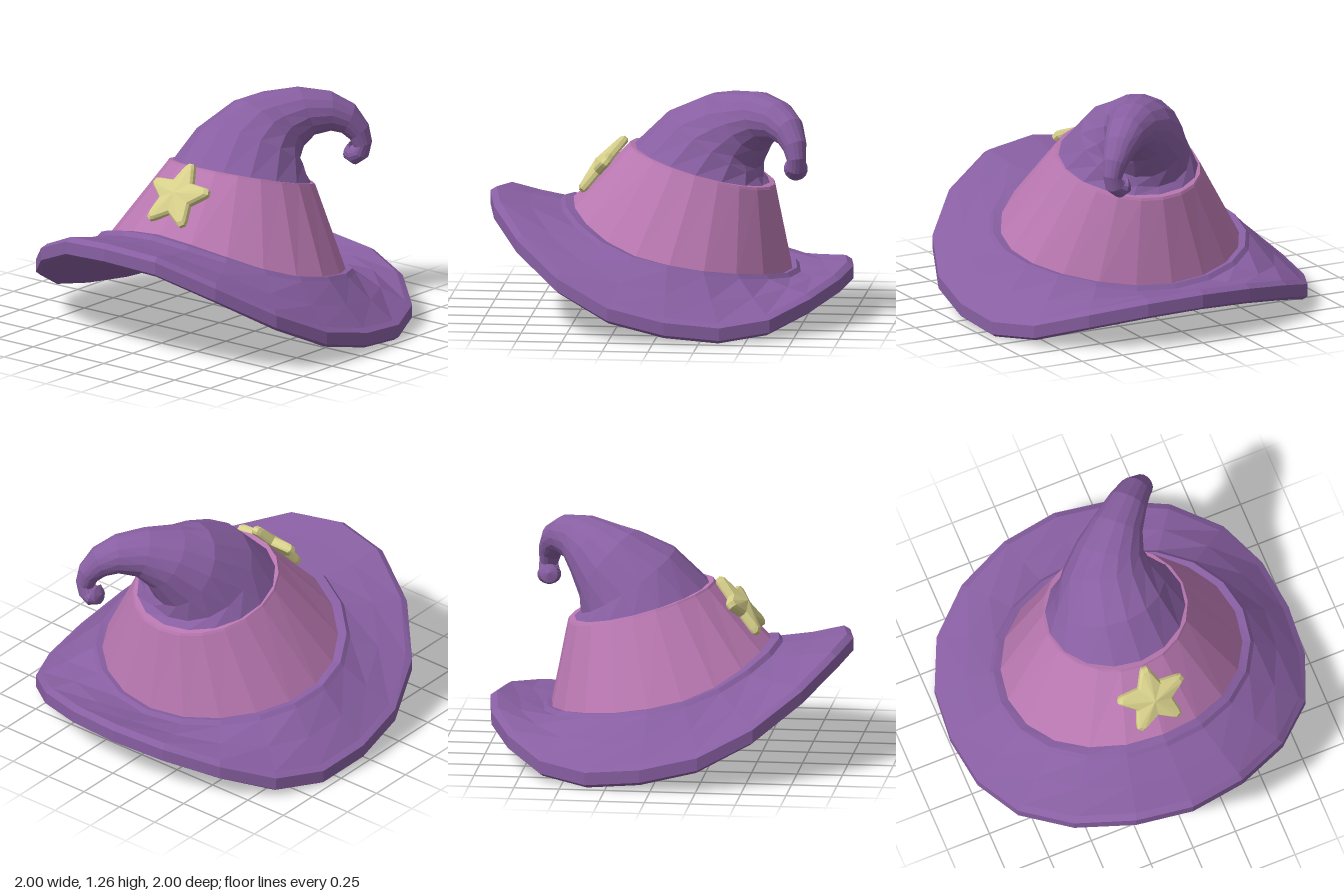
import * as THREE from 'three';

const V = (x, y, z) => new THREE.Vector3(x, y, z);
const SIDES = 20;

function material(name, color) {
  const m = new THREE.MeshStandardMaterial({ color, flatShading: true });
  m.name = name;
  return m;
}

// Skin a list of closed rings; a ring may shrink to a single repeated point.
function loft(name, rings, mat) {
  const pos = [];
  const tri = (a, b, c) => {
    const area = b.clone().sub(a).cross(c.clone().sub(a)).length();
    if (area > 1e-8) for (const p of [a, b, c]) pos.push(p.x, p.y, p.z);
  };
  for (let r = 0; r < rings.length - 1; r++) {
    const lo = rings[r], hi = rings[r + 1], n = lo.length;
    for (let i = 0; i < n; i++) {
      const j = (i + 1) % n;
      tri(lo[i], lo[j], hi[j]);
      tri(lo[i], hi[j], hi[i]);
    }
  }
  const geo = new THREE.BufferGeometry();
  geo.setAttribute('position', new THREE.Float32BufferAttribute(pos, 3));
  geo.computeVertexNormals();
  const mesh = new THREE.Mesh(geo, mat);
  mesh.name = name;
  return mesh;
}

// Ring around the vertical axis, starting at the front; k runs 0 (front) to 10 (back) on both halves.
const ring = (f) => Array.from({ length: SIDES }, (_, i) => {
  const a = (i / SIDES) * Math.PI * 2;
  return f(Math.sin(a), Math.cos(a), Math.min(i, SIDES - i));
});

// Heights from front to back: lower outer brim edge, crown seam on top, head opening underneath
const EDGE_Y = [0.565, 0.535, 0.405, 0.24, 0.10, 0.03, 0.0, 0.03, 0.11, 0.165, 0.185];
const SEAM_Y = [0.62, 0.595, 0.54, 0.47, 0.41, 0.37, 0.335, 0.305, 0.275, 0.25, 0.24];
const OPENING_Y = [0.49, 0.475, 0.40, 0.32, 0.26, 0.225, 0.205, 0.195, 0.19, 0.185, 0.185];

const edgeRing = (scale, dy) => ring((s, c, k) =>
  V(s * (1 + 0.22 * s * s * c * c) * scale, EDGE_Y[k] + dy, (c - 0.06 * s * s) * scale));
const seamRing = (rx, rz, dy) => ring((s, c, k) => V(0.01 + s * rx, SEAM_Y[k] + dy, -0.05 + c * rz));
const openingRing = () => ring((s, c, k) => V(s * 0.6, OPENING_Y[k], -0.05 + c * 0.55));
const blend = (a, b, t, dy) => a.map((p, i) => p.clone().lerp(b[i], t).add(V(0, dy, 0)));

function brim(mat) {
  const bottom = edgeRing(0.975, 0), top = edgeRing(0.965, 0.11);
  const seam = seamRing(0.735, 0.66, -0.005);
  return loft('brim', [
    openingRing(),
    blend(openingRing(), bottom, 0.5, 0),
    bottom, edgeRing(1, 0.018), edgeRing(1, 0.088), top,
    blend(top, seam, 0.5, -0.005),
    seam,
    seamRing(0.715, 0.64, 0.018),
    seamRing(0.66, 0.585, 0.01),
  ], mat);
}

// Tilted circle at the top of the band
const bandTop = (r, dy) => ring((s, c) => V(0.02 + s * r, 0.83 + dy + c * r * 0.28, -0.17 + c * r));

function band(mat) {
  return loft('crownBand', [seamRing(0.69, 0.62, -0.02), bandTop(0.405, -0.01),
    bandTop(0.398, 0.003), bandTop(0.35, 0.003)], mat);
}

// Shallow cone closing the head opening from the inside
function lining(mat) {
  return loft('lining', [ring(() => V(0, 0.6, -0.08)), openingRing()], mat);
}

// Bent point of the hat: centre x, y, z and radius along a curling spine
const SPINE = [
  [0.02, 0.83, -0.17, 0.388], [0.015, 0.94, -0.245, 0.315], [0.045, 1.02, -0.35, 0.245],
  [0.1, 1.085, -0.43, 0.187], [0.185, 1.125, -0.525, 0.14], [0.28, 1.12, -0.62, 0.11],
  [0.35, 1.075, -0.685, 0.088], [0.4, 1.0, -0.72, 0.066], [0.418, 0.93, -0.73, 0.052],
  [0.395, 0.885, -0.725, 0.058], [0.36, 0.873, -0.72, 0.066], [0.325, 0.88, -0.718, 0.048],
  [0.31, 0.89, -0.717, 0],
];

function point(mat) {
  const n = 16;
  const centres = SPINE.map(([x, y, z]) => V(x, y, z));
  let u = V(1, 0, 0);
  const rings = SPINE.map(([, , , radius], i) => {
    // Each ring faces along the stretch leading up to it; the first lies in the band's tilt.
    const t = i ? centres[i].clone().sub(centres[i - 1]).normalize() : V(0, 0.963, -0.27);
    u = u.clone().addScaledVector(t, -u.dot(t)).normalize();
    const v = t.clone().cross(u);
    return Array.from({ length: n }, (_, j) => {
      const a = (j / n) * Math.PI * 2;
      return centres[i].clone().addScaledVector(u, Math.cos(a) * radius)
        .addScaledVector(v, Math.sin(a) * radius);
    });
  });
  return loft('bentPoint', rings, mat);
}

// Puffy five-pointed star with rounded tips, leaning back on the band
function star(mat) {
  const outline = (scale, z) => {
    const pts = [];
    for (let i = 0; i < 5; i++) {
      const a = Math.PI / 2 + (i * Math.PI * 2) / 5;
      for (const [da, r] of [[-0.16, 0.18], [-0.08, 0.2], [0.08, 0.2], [0.16, 0.18], [Math.PI / 5, 0.11]]) {
        pts.push(V(Math.cos(a + da) * r * scale, Math.sin(a + da) * r * scale, z));
      }
    }
    return pts;
  };
  const mesh = loft('star', [outline(0, -0.03), outline(0.93, -0.03), outline(1, -0.018),
    outline(1, 0.004), outline(0.9, 0.02), outline(0, 0.045)], mat);
  mesh.position.set(0.015, 0.815, 0.385);
  mesh.rotation.x = -0.7;
  return mesh;
}

export function createModel() {
  const purple = material('purple felt', 0x885fa2);
  const pink = material('pink band', 0xb877b0);
  const navy = material('navy lining', 0x36266c);
  const gold = material('pale gold', 0xd6cf8a);

  const hat = new THREE.Group();
  hat.name = 'pointedHat';
  hat.add(brim(purple), band(pink), lining(navy), point(purple), star(gold));
  return hat;
}
